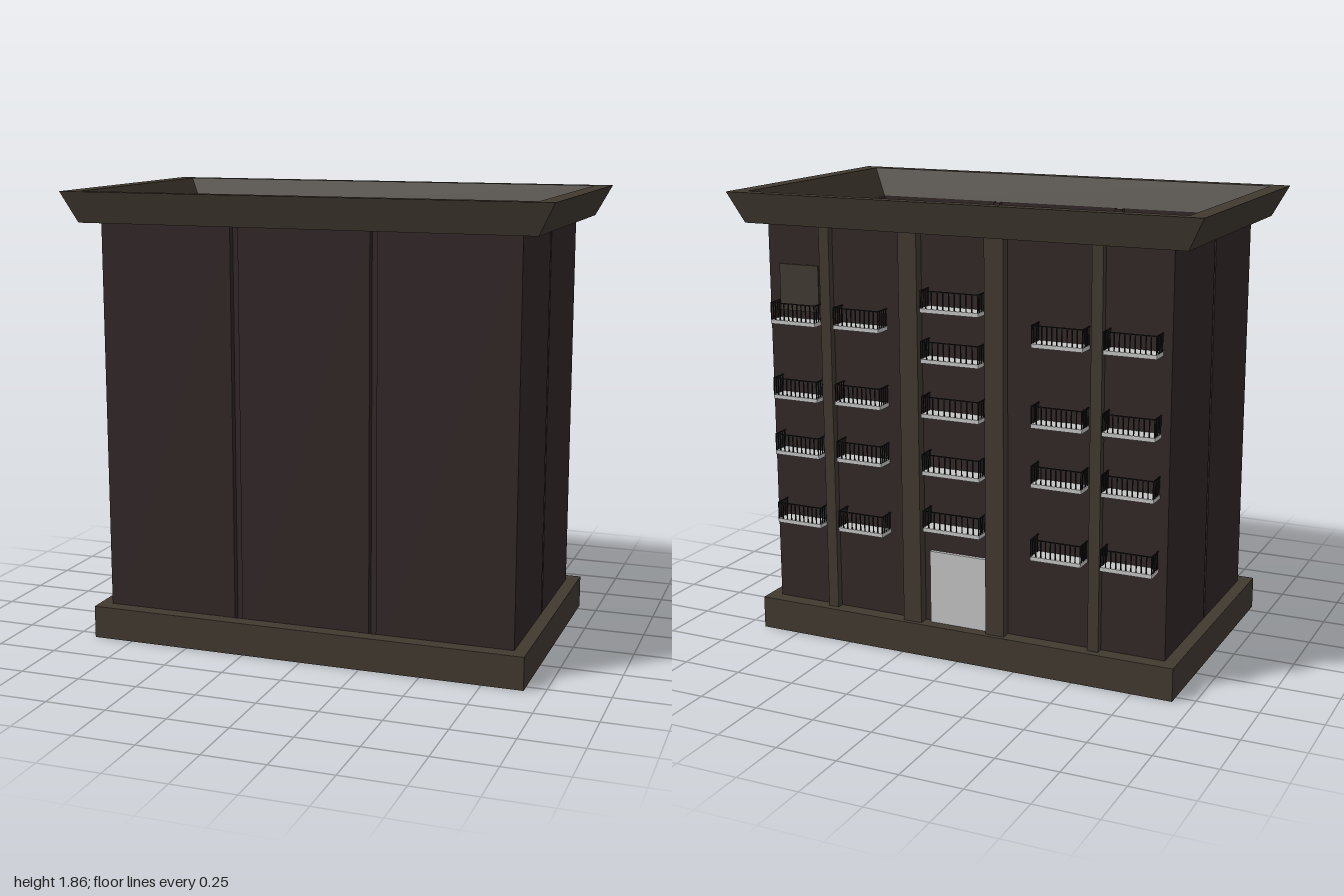
import * as THREE from 'three';

const mat = (name, color, side = THREE.DoubleSide) => {
  const m = new THREE.MeshStandardMaterial({ color, side });
  m.name = name;
  return m;
};

export function createModel() {
  const wallMat = mat('dark brown wall', 0x322727);
  const trimMat = mat('olive stone trim', 0x403930);
  const paleMat = mat('pale grey', 0xc4c4c4, THREE.FrontSide);
  const railMat = mat('black iron', 0x17171a, THREE.FrontSide);

  const model = new THREE.Group();
  model.name = 'building';
  const X = 0.865, Z = 0.485, Y0 = 0.02, Y1 = 1.74;

  const add = (parent, name, geo, m) => {
    const mesh = new THREE.Mesh(geo, m);
    mesh.name = name;
    parent.add(mesh);
    return mesh;
  };
  const box = (parent, name, m, x0, x1, y0, y1, z0, z1) =>
    add(parent, name, new THREE.BoxGeometry(x1 - x0, y1 - y0, z1 - z0), m)
      .position.set((x0 + x1) / 2, (y0 + y1) / 2, (z0 + z1) / 2);

  const fromTriangles = (pos) => {
    const g = new THREE.BufferGeometry();
    g.setAttribute('position', new THREE.Float32BufferAttribute(pos, 3));
    g.computeVertexNormals();
    return g;
  };
  const quad = (out, a, b, c, d) => out.push(...a, ...b, ...c, ...a, ...c, ...d);

  // Thin upright sheet following a plan path of [x, z] points
  const sheet = (name, path, m, y0 = Y0, y1 = Y1) => {
    const pos = [];
    for (let i = 0; i + 1 < path.length; i++) {
      const [ax, az] = path[i], [bx, bz] = path[i + 1];
      quad(pos, [ax, y0, az], [bx, y0, bz], [bx, y1, bz], [ax, y1, az]);
    }
    add(model, name, fromTriangles(pos), m);
  };

  // Rectangular ring swept from a closed profile of [halfX, halfZ, y]
  const ring = (name, profile, m) => {
    const pos = [];
    const corner = ([hx, hz, y], k) => [[hx, y, hz], [hx, y, -hz], [-hx, y, -hz], [-hx, y, hz]][k % 4];
    profile.forEach((p, i) => {
      const q = profile[(i + 1) % profile.length];
      for (let k = 0; k < 4; k++) quad(pos, corner(p, k), corner(p, k + 1), corner(q, k + 1), corner(q, k));
    });
    add(model, name, fromTriangles(pos), m);
  };

  // Plinth and flared cornice
  ring('plinth', [[X, Z, 0], [0.918, 0.545, 0], [0.918, 0.545, 0.135], [X, Z, 0.135]], trimMat);
  ring('cornice', [[X, Z, 1.735], [0.935, 0.545, 1.735], [1, 0.577, 1.86], [0.93, 0.525, 1.86]], trimMat);

  // Front and side walls, with shallow upright channels
  const d = 0.03;
  sheet('frontWall', [
    [-X, Z], [-0.305, Z], [-0.305, Z - d], [-0.272, Z - d], [-0.272, Z],
    [0.272, Z], [0.272, Z - d], [0.302, Z - d], [0.302, Z], [X, Z],
  ], wallMat);
  for (const s of [1, -1]) {
    sheet(s > 0 ? 'leftWall' : 'rightWall', [
      [s * X, Z], [s * X, 0.012], [s * (X - d), 0.012], [s * (X - d), -0.005], [s * X, -0.005], [s * X, -Z],
    ], wallMat);
  }

  // Back wall panels between projecting hollow pilasters: [x0, x1, depth]
  let x = -X;
  for (const [x0, x1, depth] of [[-0.6, -0.555, 0.03], [-0.2, -0.12, 0.042], [0.17, 0.25, 0.042], [0.568, 0.613, 0.03]]) {
    sheet('backWallPanel', [[x, -Z], [x0, -Z]], wallMat);
    sheet('pilaster', [[x0, -Z], [x0, -Z - depth], [x1, -Z - depth], [x1, -Z]], trimMat);
    x = x1;
  }
  sheet('backWallPanel', [[x, -Z], [X, -Z]], wallMat);

  // Entrance door and the upper window plate
  box(model, 'door', paleMat, -0.11, 0.14, 0.12, 0.44, -Z - 0.015, -Z + 0.002);
  box(model, 'windowPlate', trimMat, 0.635, 0.815, 1.38, 1.57, -Z - 0.006, -Z);

  // Balcony: pale slab with iron railing
  const balcony = (x0, x1, y, inner) => {
    const g = new THREE.Group();
    g.name = 'balcony';
    model.add(g);
    const zf = -0.56, t = 0.004, top = y + 0.08;
    box(g, 'slab', paleMat, x0, x1, y - 0.008, y + 0.008, zf, inner);
    box(g, 'frontRail', railMat, x0, x1, top - t, top, zf, zf + t);
    const n = 10;
    for (let i = 0; i <= n; i++) {
      const px = x0 + (x1 - x0 - t) * i / n;
      box(g, 'baluster', railMat, px, px + t, y + 0.008, top - t, zf, zf + t);
    }
    for (const sx of [x0, x1 - t]) {
      box(g, 'sideRail', railMat, sx, sx + t, top - t, top, zf, -Z);
      for (let i = 1; i < 5; i++) {
        const pz = zf + 0.016 * i;
        box(g, 'baluster', railMat, sx, sx + t, y + 0.008, top - t, pz, pz + t);
      }
    }
  };
  for (const [x0, x1] of [[-0.83, -0.62], [-0.54, -0.33], [0.325, 0.53], [0.615, 0.82]])
    for (const y of [0.497, 0.793, 1.03, 1.342]) balcony(x0, x1, y, -0.48);
  for (const y of [0.55, 0.785, 1.02, 1.24, 1.44]) balcony(-0.11, 0.14, y, -0.465);

  return model;
}
